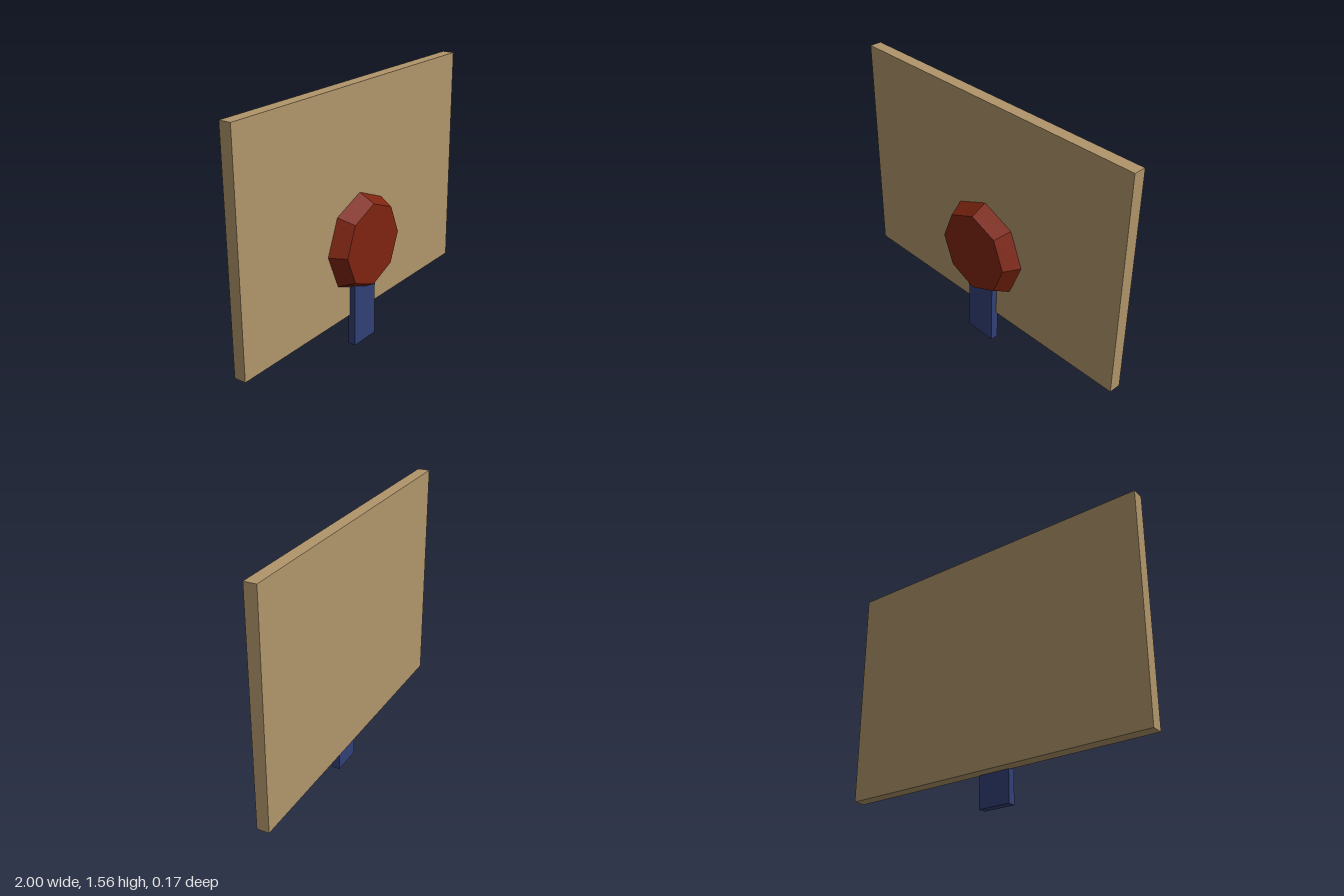
import * as THREE from 'three';

export function createModel() {
  const group = new THREE.Group();
  const mat = (name, color) => {
    const m = new THREE.MeshStandardMaterial({ color, flatShading: true });
    m.name = name;
    return m;
  };
  const add = (name, geometry, material, x, y, z) => {
    const mesh = new THREE.Mesh(geometry, material);
    mesh.name = name;
    mesh.position.set(x, y, z);
    group.add(mesh);
    return mesh;
  };

  const parchment = mat('parchment tan', 0xb0956a);
  const wax = mat('wax red', 0x7e2410);
  const cloth = mat('ribbon blue', 0x314076);

  // Flat sheet at the back
  add('sheet', new THREE.BoxGeometry(2, 1.37, 0.073), parchment, 0, 0.876, -0.0488);

  // Eight-sided seal, tapering towards the front
  const seal = add('seal', new THREE.CylinderGeometry(0.25, 0.3, 0.1, 8), wax, 0, 0.63, 0.0353);
  seal.rotation.x = Math.PI / 2;

  // Ribbon hanging from under the seal
  add('ribbon', new THREE.BoxGeometry(0.2, 0.44, 0.048), cloth, 0, 0.22, 0.001);

  return group;
}
